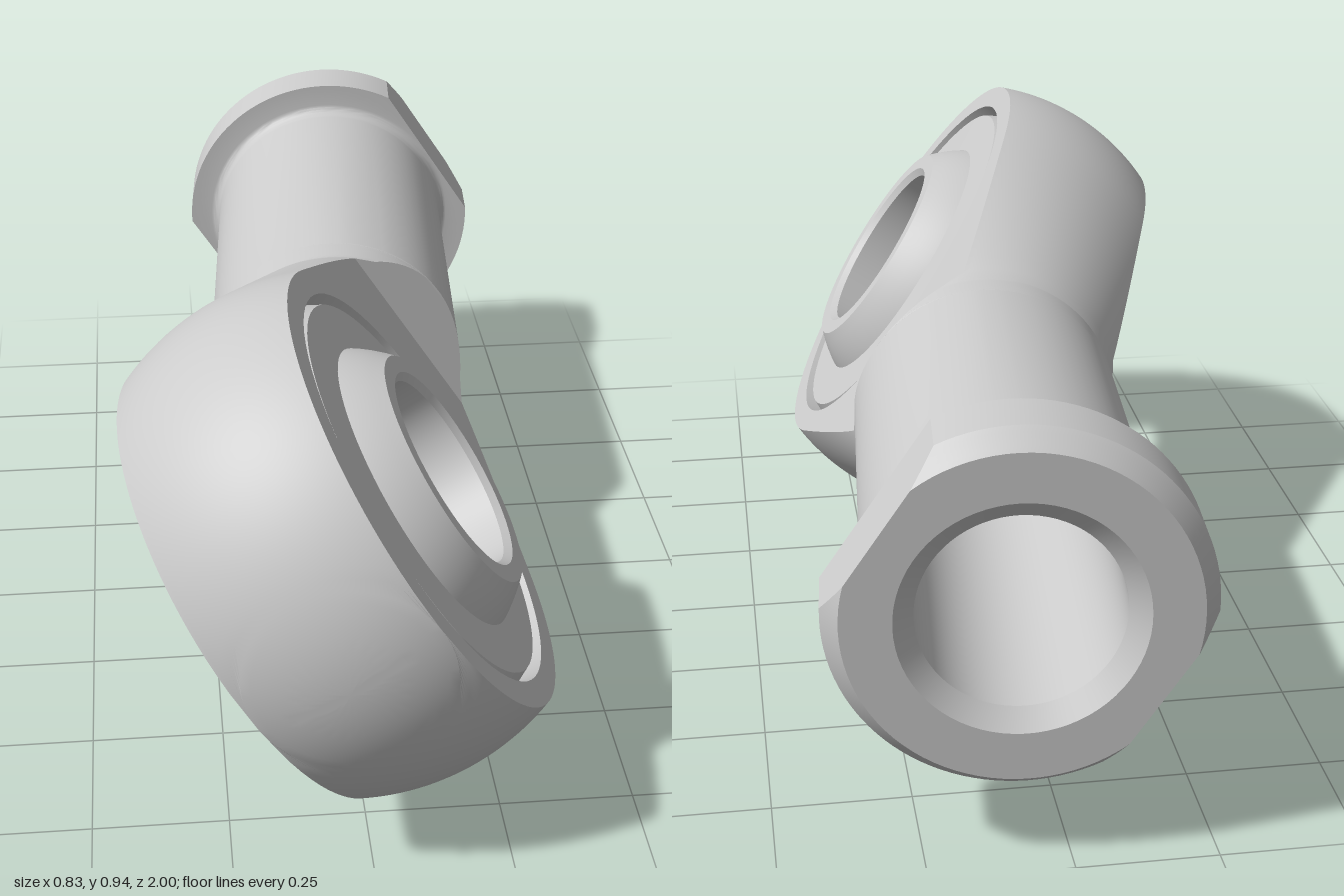
import * as THREE from 'three';
import { toCreasedNormals } from 'three/addons/utils/BufferGeometryUtils.js';

// Local frame: x = bearing axis, z = shank axis (eye at the origin, shank towards -z)
const R = 0.48, HALF = 0.18, SHANK = 0.26, NECK = -0.6, RAMP = -0.575, RAMP_END = -0.665;
const EYE = Math.sqrt(R * R - HALF * HALF);
const ARC = 36;

// Radius of the sphere that runs into a tangent cone, at station s
const tangent = Math.atan2(SHANK, NECK) - Math.acos(R / Math.hypot(SHANK, NECK));
const sT = R * Math.cos(tangent), rT = R * Math.sin(tangent);
function headRadius(s) {
  if (s > sT) return Math.sqrt(Math.max(0, R * R - s * s));
  return THREE.MathUtils.mapLinear(s, sT, NECK, rT, SHANK);
}

// Stations along the flat part of the eye, from its front tip to the ramp
function flatStations() {
  const list = [], a0 = Math.acos(EYE / R);
  for (let i = 0; i <= 36; i++) list.push(R * Math.cos(a0 + (tangent - a0) * i / 36));
  for (let i = 1; i <= 10; i++) list.push(sT + (RAMP - sT) * i / 10);
  return list;
}

// Loft of circles [s, r, w], each cut by two flats at x = +-w
function loft(sections, openFlat) {
  const pos = [], idx = [], n = 2 * (ARC + 1);
  for (const [s, r, w] of sections) {
    const t0 = r > w ? Math.asin(w / r) : Math.PI / 2;
    for (const side of [1, -1])
      for (let j = 0; j <= ARC; j++) {
        const t = side * t0 * (2 * j / ARC - 1);
        pos.push(r * Math.sin(t), side * r * Math.cos(t), s);
      }
  }
  for (let i = 0; i < sections.length - 1; i++)
    for (let j = 0; j < n; j++) {
      const isFlat = j === ARC || j === n - 1;
      if (isFlat && openFlat(sections[i][0], sections[i + 1][0])) continue;
      const k = (j + 1) % n, a = i * n, b = a + n;
      idx.push(a + j, a + k, b + k, a + j, b + k, b + j);
    }
  const g = new THREE.BufferGeometry();
  g.setAttribute('position', new THREE.Float32BufferAttribute(pos, 3));
  g.setIndex(idx);
  return toCreasedNormals(g, 0.36);
}

// Lathe about the bearing axis from [radius, height] points
function bearingLathe(points) {
  const g = new THREE.LatheGeometry(points.map(p => new THREE.Vector2(p[0], p[1])), 72);
  return toCreasedNormals(g.rotateZ(-Math.PI / 2), 0.4);
}

function bodyGeometry() {
  const sec = [];
  // spherical tip, up to where the flats begin
  for (let i = 0; i < 10; i++) {
    const a = Math.acos(EYE / R) * i / 10;
    sec.push([R * Math.cos(a), R * Math.sin(a), HALF]);
  }
  for (const s of flatStations()) sec.push([s, headRadius(s), HALF]);
  // ramps from the flats out to the round shank
  const rampWidth = s => THREE.MathUtils.mapLinear(s, RAMP, RAMP_END, HALF, SHANK);
  sec.push([NECK, SHANK, rampWidth(NECK)]);
  for (let i = 1; i <= 10; i++) {
    const s = NECK + (RAMP_END - NECK) * (1 - (1 - i / 10) ** 2);
    sec.push([s, SHANK, rampWidth(s)]);
  }
  // fillet into the collar
  const W = 0.28;
  for (let i = 0; i <= 6; i++) {
    const a = Math.PI / 2 * i / 6;
    sec.push([-1.335 - 0.025 * Math.sin(a), SHANK + 0.02 * (1 - Math.cos(a)), W]);
  }
  // collar with two wrench flats and a chamfered end
  sec.push([-1.36, 0.327, W], [-1.465, 0.327, W]);
  for (let i = 1; i <= 4; i++) sec.push([-1.465 - 0.01 * i, 0.327 - 0.0075 * i, W]);
  // countersunk blind bore
  sec.push([-1.505, 0.21, W], [-1.475, 0.175, W], [-0.75, 0.175, W], [-0.68, 0, W]);
  return loft(sec, (a, b) => a <= EYE + 1e-6 && b >= RAMP - 1e-6);
}

// Flat cheek of the eye with the hole for the bearing
function cheekGeometry() {
  const half = flatStations().map(s => [Math.sqrt(Math.max(0, headRadius(s) ** 2 - HALF ** 2)), s]);
  const outline = [...half.slice(1).reverse().map(([y, s]) => new THREE.Vector2(y, s)),
    ...half.map(([y, s]) => new THREE.Vector2(-y, s))];
  const shape = new THREE.Shape(outline);
  shape.holes.push(new THREE.Path().absarc(0, 0, 0.395, 0, Math.PI * 2, true));
  const toCheek = new THREE.Matrix4().makeBasis(
    new THREE.Vector3(0, 1, 0), new THREE.Vector3(0, 0, 1), new THREE.Vector3(1, 0, 0));
  return new THREE.ShapeGeometry(shape, 36).applyMatrix4(toCheek).translate(HALF, 0, 0);
}

function ballGeometry() {
  const pts = [[0.185, -0.228], [0.197, -0.24]], ball = 0.333, a0 = Math.asin(0.24 / ball);
  for (let i = 0; i <= 24; i++) {
    const a = a0 * (i / 12 - 1);
    pts.push([ball * Math.cos(a), ball * Math.sin(a)]);
  }
  pts.push([0.197, 0.24], [0.185, 0.228], [0.185, -0.228]);
  return bearingLathe(pts);
}

export function createModel() {
  const group = new THREE.Group();
  group.name = 'rodEnd';
  const material = new THREE.MeshStandardMaterial({ color: 0xcccccc });
  const add = (name, geometry, turn = 0) => {
    const mesh = new THREE.Mesh(geometry, material);
    mesh.name = name;
    mesh.rotation.z = turn;
    group.add(mesh);
  };

  add('body', bodyGeometry());
  add('ball', ballGeometry());
  // cheeks and bearing races on both sides
  const cheek = cheekGeometry();
  const race = bearingLathe([[0.395, 0.18], [0.388, 0.15], [0.375, 0.174], [0.276, 0.176]]);
  [['left', 0], ['right', Math.PI]].forEach(([side, turn]) => {
    add(side + 'Cheek', cheek, turn);
    add(side + 'Race', race, turn);
  });

  // lay the part down: shank almost level, eye rolled about it
  const shankAxis = new THREE.Vector3(-0.073, 0, 1).normalize();
  const boreAxis = new THREE.Vector3(0.83, 0.556, 0.0606).normalize();
  const third = new THREE.Vector3().crossVectors(shankAxis, boreAxis);
  group.quaternion.setFromRotationMatrix(new THREE.Matrix4().makeBasis(boreAxis, third, shankAxis));
  group.position.set(-0.02, 0.472, 0.52);
  const root = new THREE.Group();
  root.add(group);
  return root;
}
